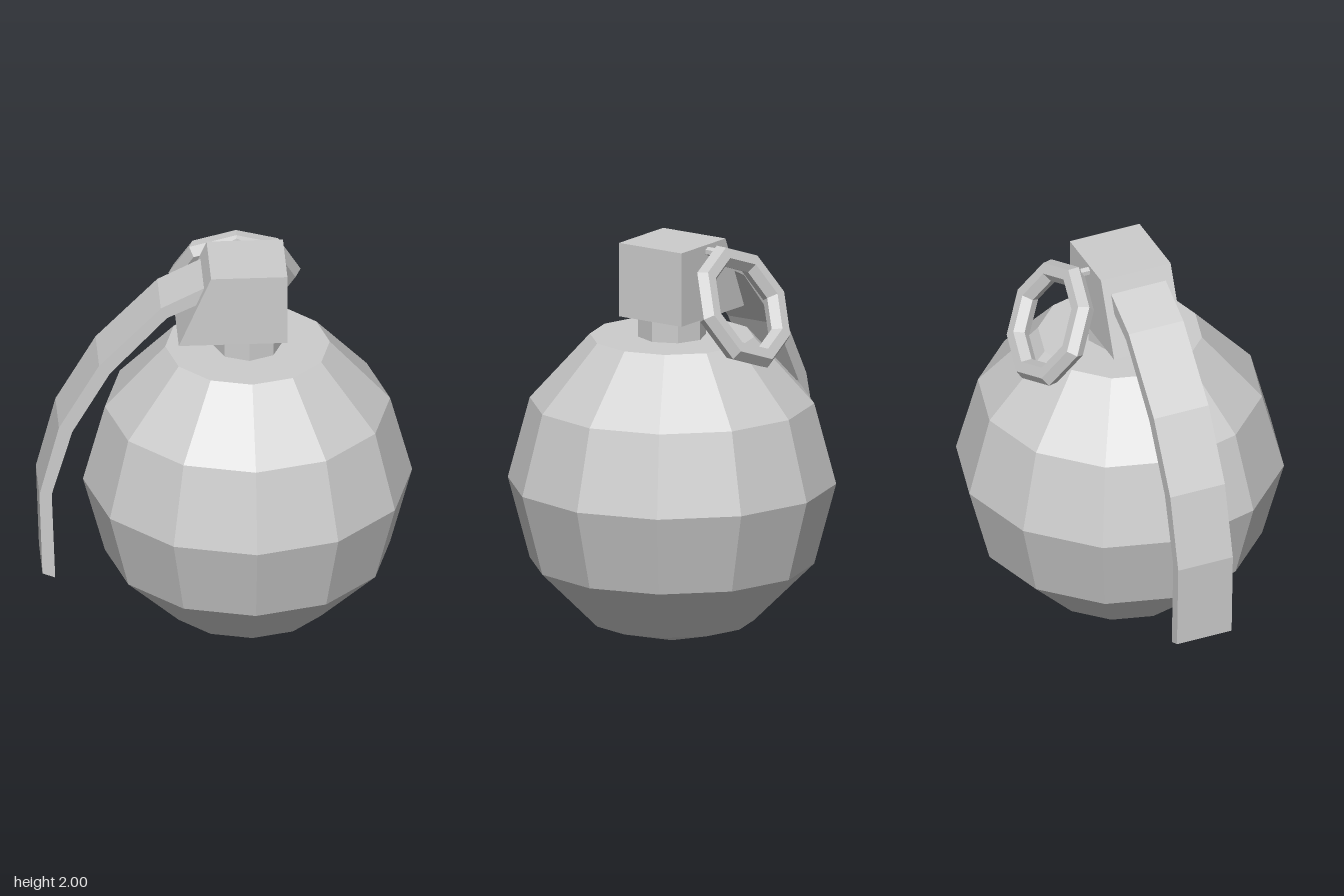
import * as THREE from 'three';

export function createModel() {
  const model = new THREE.Group();
  const metal = new THREE.MeshStandardMaterial({ color: 0xcccccc, flatShading: true });
  metal.name = 'grey metal';
  const axisX = 0.11;

  const add = (name, geometry, x = 0, y = 0, z = 0) => {
    const mesh = new THREE.Mesh(geometry, metal);
    mesh.name = name;
    mesh.position.set(x, y, z);
    model.add(mesh);
    return mesh;
  };

  // Side profile in x/y, given thickness along z and centred on z = 0
  const slab = (points, depth) => {
    const shape = new THREE.Shape(points.map(([x, y]) => new THREE.Vector2(x, y)));
    return new THREE.ExtrudeGeometry(shape, { depth, bevelEnabled: false }).translate(0, 0, -depth / 2);
  };

  // Twelve-sided round body with a flat top
  const profile = [[0, 0], [0.4, 0.11], [0.693, 0.4], [0.8, 0.8], [0.693, 1.2], [0.4, 1.525], [0, 1.525]];
  add('body', new THREE.LatheGeometry(profile.map(([r, y]) => new THREE.Vector2(r, y)), 12), axisX);

  // Neck between body and head
  add('neck', new THREE.CylinderGeometry(0.167, 0.167, 0.13, 8), axisX, 1.58);

  // Head block with one slanted side
  add('head', slab([[-0.235, 1.63], [0.293, 1.63], [0.293, 1.997], [-0.078, 1.997]], 0.37));

  // Curved safety lever: outer edge down, inner edge back up
  add('lever', slab([
    [-0.11, 1.925], [-0.32, 1.82], [-0.62, 1.51], [-0.815, 1.17], [-0.91, 0.8], [-0.895, 0.36],
    [-0.833, 0.335], [-0.85, 0.8], [-0.75, 1.145], [-0.567, 1.465], [-0.29, 1.765], [-0.14, 1.835],
  ], 0.29));

  // Tilted pull ring
  const ring = add('pullRing', new THREE.TorusGeometry(0.266, 0.055, 6, 8), 0.07, 1.715, -0.388);
  ring.rotation.x = THREE.MathUtils.degToRad(28);

  // Pin joining the ring to the head
  const pin = add('pin', new THREE.CylinderGeometry(0.022, 0.022, 0.14, 6), 0.07, 1.963, -0.175);
  pin.rotation.x = Math.PI / 2;

  return model;
}
